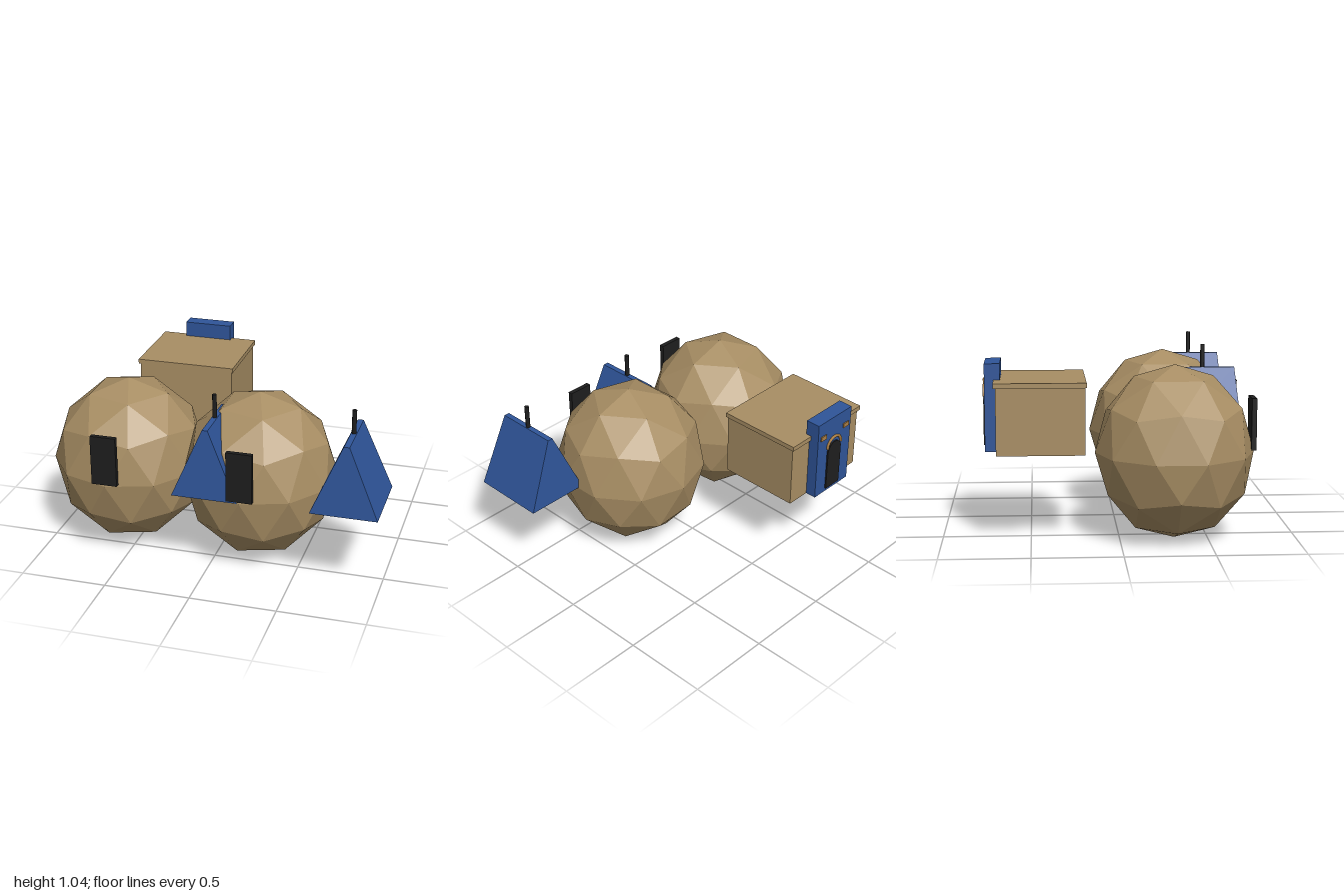
import * as THREE from 'three';

const mat = (name, color) => {
  const m = new THREE.MeshStandardMaterial({ color });
  m.name = name;
  return m;
};

export function createModel() {
  const tan = mat('tan', 0xa88e64);
  const blue = mat('blue', 0x2f5599);
  const black = mat('black', 0x1e1e1e);
  const bronze = mat('bronze', 0xac7f45);
  const model = new THREE.Group();

  const add = (name, geometry, material, x = 0, y = 0, z = 0) => {
    const mesh = new THREE.Mesh(geometry, material);
    mesh.name = name;
    mesh.position.set(x, y, z);
    model.add(mesh);
    return mesh;
  };
  // Box given by its limits on each axis
  const box = (name, material, [x0, x1], [y0, y1], [z0, z1]) =>
    add(name, new THREE.BoxGeometry(x1 - x0, y1 - y0, z1 - z0), material,
      (x0 + x1) / 2, (y0 + y1) / 2, (z0 + z1) / 2);

  // Faceted domes, turned so a vertex points straight up, each with a door
  const dome = new THREE.IcosahedronGeometry(1, 1);
  dome.rotateZ(-Math.atan(2 / (1 + Math.sqrt(5))));
  dome.scale(0.45, 0.495, 0.45);
  const flatDome = dome.index ? dome.toNonIndexed() : dome;
  flatDome.computeVertexNormals();
  for (const x of [-0.572, 0.218]) {
    add('dome', flatDome, tan, x, 0.5, 0.311);
    box('domeDoor', black, [x - 0.074, x + 0.076], [0.513, 0.808], [0.737, 0.765]);
  }

  // Tents: a box narrowed to a ridge, with a pole on top
  for (const x of [0.015, 0.805]) {
    const tent = new THREE.BoxGeometry(0.38, 0.405, 0.448);
    const p = tent.attributes.position;
    for (let i = 0; i < p.count; i++) {
      if (p.getY(i) > 0) {
        p.setX(i, p.getX(i) * 0.085);
        p.setZ(i, p.getZ(i) * 0.855);
      }
    }
    const flat = tent.toNonIndexed();
    flat.computeVertexNormals();
    add('tent', flat, blue, x, 0.7045, 0.535);
    add('tentPole', new THREE.CylinderGeometry(0.013, 0.013, 0.16, 8), black, x, 0.965, 0.535);
  }

  // House with a thin overhanging roof
  box('houseBody', tan, [-0.683, -0.1], [0.502, 0.885], [-0.69, -0.195]);
  box('houseRoof', tan, [-0.693, -0.09], [0.88, 0.908], [-0.703, -0.187]);

  // Gate on the back of the house
  box('gate', blue, [-0.537, -0.245], [0.502, 1], [-0.755, -0.667]);
  const doorShape = new THREE.Shape();
  doorShape.moveTo(-0.058, 0.525);
  doorShape.lineTo(0.058, 0.525);
  doorShape.lineTo(0.058, 0.775);
  doorShape.absarc(0, 0.775, 0.058, 0, Math.PI, false);
  doorShape.closePath();
  const door = new THREE.ExtrudeGeometry(doorShape, { depth: 0.012, bevelEnabled: false, curveSegments: 8 });
  add('gateDoor', door, black, -0.391, 0, -0.764);
  add('gateArch', new THREE.TorusGeometry(0.06, 0.009, 6, 16, Math.PI), bronze, -0.391, 0.805, -0.759);
  for (const side of [-1, 1]) {
    const x = -0.391 + side * 0.1;
    box('gateOrnament', bronze, [x - 0.024, x + 0.024], [0.885, 0.913], [-0.762, -0.75]);
  }
  return model;
}
